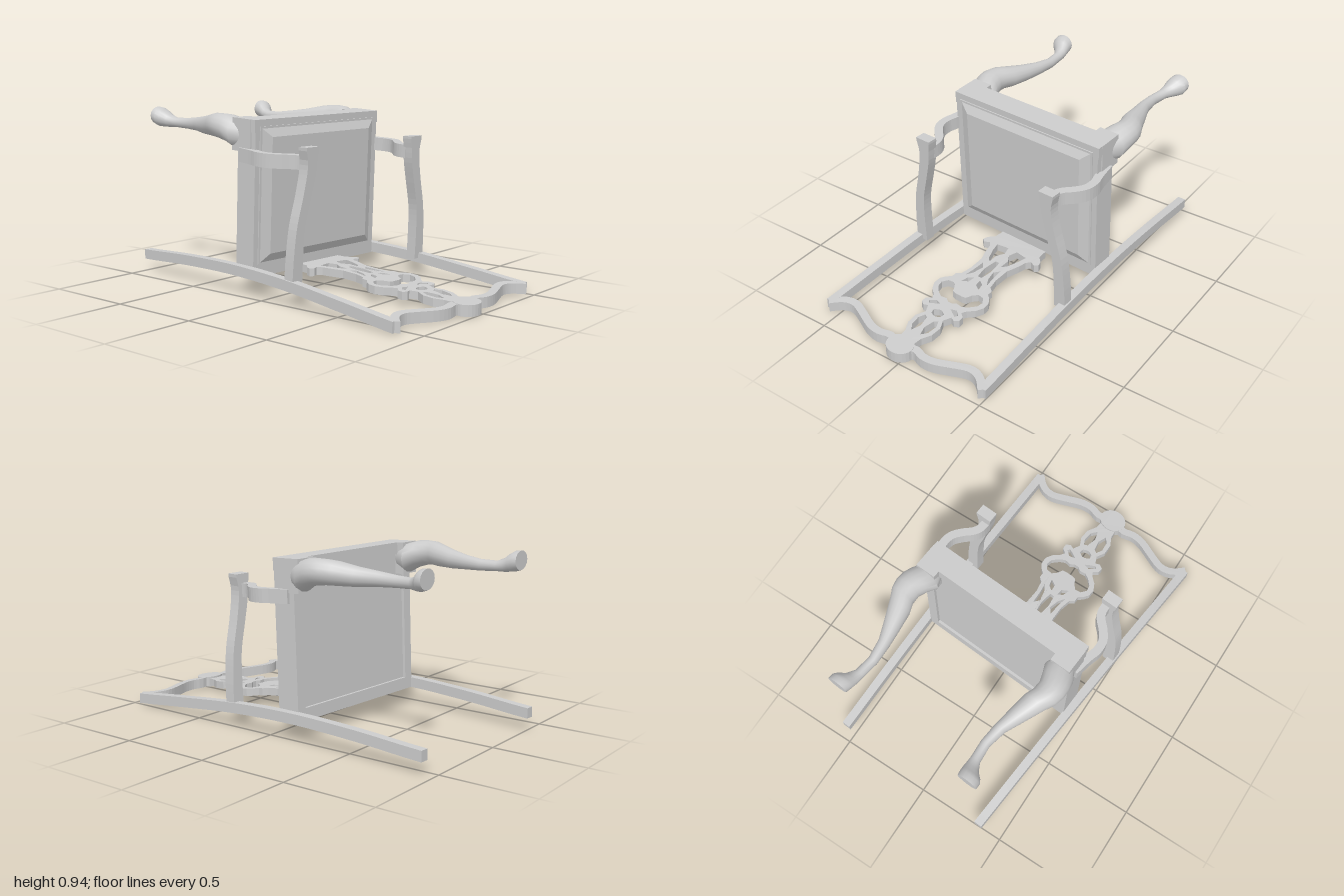
import * as THREE from 'three';
import { toCreasedNormals } from 'three/addons/utils/BufferGeometryUtils.js';

const material = new THREE.MeshStandardMaterial({ color: 0xcccccc, flatShading: false, side: THREE.DoubleSide });
const V2 = (p) => new THREE.Vector2(p[0], p[1]);

function addMesh(parent, name, geometry) {
  const mesh = new THREE.Mesh(geometry, material);
  mesh.name = name;
  parent.add(mesh);
  return mesh;
}

function addBox(parent, name, x0, x1, y0, y1, z0, z1) {
  const geo = new THREE.BoxGeometry(Math.abs(x1 - x0), Math.abs(y1 - y0), Math.abs(z1 - z0));
  geo.translate((x0 + x1) / 2, (y0 + y1) / 2, (z0 + z1) / 2);
  return addMesh(parent, name, geo);
}

// Height of the middle of the chair back, which is gently bowed along x
const bow = new THREE.SplineCurve([[-1, 0.09], [-0.6, 0.112], [-0.2, 0.121], [0.2, 0.105],
  [0.6, 0.066], [1, 0.026]].map(V2));
const bowAt = (x) => bow.getPoint((THREE.MathUtils.clamp(x, -1, 1) + 1) / 2).y;

function bend(geo, drop = () => 0) {
  const p = geo.attributes.position;
  for (let i = 0; i < p.count; i++) p.setY(i, p.getY(i) + bowAt(p.getX(i)) - drop(p.getX(i)));
  geo.computeVertexNormals();
  return geo;
}

// Band of given width along a smooth path
function ribbon(points, width, steps = 24) {
  const curve = new THREE.SplineCurve(points.map(V2));
  const a = [], b = [];
  for (let i = 0; i <= steps; i++) {
    const t = i / steps, p = curve.getPoint(t), d = curve.getTangent(t);
    const h = (typeof width === 'function' ? width(t) : width) / 2;
    a.push(new THREE.Vector2(p.x - d.y * h, p.y + d.x * h));
    b.unshift(new THREE.Vector2(p.x + d.y * h, p.y - d.x * h));
  }
  return new THREE.Shape([...a, ...b]);
}

// Shape drawn in (x, z), centred on y = 0
function flatPlate(shape, thickness) {
  const geo = new THREE.ExtrudeGeometry(shape, { depth: thickness, bevelEnabled: false, curveSegments: 12 });
  return geo.translate(0, 0, -thickness / 2).rotateX(Math.PI / 2);
}

// Smooth tube of elliptical sections [x, y, z, half height, half width]
function loft(sections, side, n = 16) {
  const rows = [sections[0], ...sections, sections[sections.length - 1]];
  const pos = [], index = [];
  rows.forEach(([x, y, z, hy, hz], i) => {
    const k = i === 0 || i === rows.length - 1 ? 0 : 1;
    for (let j = 0; j < n; j++) {
      const a = (j / n) * Math.PI * 2;
      pos.push(x, y + k * hy * Math.cos(a), side * z + k * hz * Math.sin(a));
      if (i === rows.length - 1) continue;
      const p = i * n + j, q = i * n + (j + 1) % n;
      index.push(p, p + n, q, q, p + n, q + n);
    }
  });
  const geo = new THREE.BufferGeometry();
  geo.setAttribute('position', new THREE.Float32BufferAttribute(pos, 3));
  geo.setIndex(index);
  return toCreasedNormals(geo, 0.7);
}

function splatShape() {
  // Half outline, mirrored over the centre line
  const half = [[-0.06, 0.15], [0, 0.155], [0.03, 0.185], [0.06, 0.195], [0.075, 0.175], [0.06, 0.145],
    [0.085, 0.125], [0.13, 0.115], [0.2, 0.09], [0.29, 0.088], [0.35, 0.1], [0.37, 0.125], [0.4, 0.125],
    [0.42, 0.15], [0.45, 0.17], [0.49, 0.172], [0.53, 0.15], [0.56, 0.115], [0.585, 0.1], [0.605, 0.128],
    [0.635, 0.13], [0.65, 0.105], [0.64, 0.08], [0.68, 0.06], [0.73, 0.085], [0.79, 0.082],
    [0.84, 0.055], [0.88, 0.05], [0.92, 0.05]];
  const mirror = (pts) => pts.map(([x, z]) => [x, -z]).reverse();
  const shape = new THREE.Shape([...half, ...mirror(half)].map(V2));
  const addHole = (pts) => shape.holes.push(new THREE.Path(pts.map(V2)));

  // Pairs of pierced openings
  const pairs = [
    [[0.04, 0.03], [0.05, 0.1], [0.1, 0.088], [0.17, 0.062], [0.19, 0.04], [0.13, 0.04], [0.09, 0.015]],
    [[0.22, 0.062], [0.25, 0.036], [0.31, 0.05], [0.35, 0.075], [0.29, 0.066]],
    [[0.34, 0.02], [0.36, 0.05], [0.4, 0.06], [0.38, 0.025]],
    [[0.595, 0.035], [0.585, 0.07], [0.61, 0.1], [0.625, 0.09], [0.61, 0.06]],
    [[0.71, 0.025], [0.7, 0.045], [0.735, 0.062], [0.79, 0.055], [0.82, 0.03], [0.77, 0.012]],
  ];
  for (const pts of pairs) { addHole(pts); addHole(mirror(pts)); }

  // Star, heart-shaped ring opening and small eye on the centre line
  const centred = [
    [[0.17, 0.012], [0.225, 0.02], [0.25, 0.022], [0.275, 0.02], [0.32, 0.012]],
    [[0.49, 0.02], [0.485, 0.045], [0.455, 0.06], [0.43, 0.085], [0.435, 0.12], [0.465, 0.142],
      [0.5, 0.135], [0.535, 0.1], [0.55, 0.07], [0.545, 0.035], [0.56, 0.012]],
    [[0.63, 0.01], [0.645, 0.035], [0.67, 0.03], [0.68, 0.01]],
  ];
  for (const pts of centred) addHole([...pts, ...mirror(pts)]);
  return shape;
}

function buildBack(chair) {
  const back = new THREE.Group();
  back.name = 'chairBack';
  chair.add(back);

  // Stiles continuing into the rear legs, spreading towards the crest
  for (const s of [-1, 1]) {
    const geo = new THREE.BoxGeometry(1.9, 0.055, 0.046, 20, 1, 1).translate(-0.03, 0, 0);
    const p = geo.attributes.position;
    for (let i = 0; i < p.count; i++) p.setZ(i, p.getZ(i) + s * (0.49 + 0.034 * p.getX(i)));
    addMesh(back, 'rearLegAndStile', bend(geo));

    // Wavy half of the crest rail
    const wave = [[0.925, 0.525], [0.885, 0.485], [0.86, 0.44], [0.857, 0.385], [0.885, 0.31],
      [0.922, 0.22], [0.93, 0.15], [0.915, 0.09], [0.93, 0.03]].map(([x, z]) => [x, s * z]);
    addMesh(back, 'crestRail', bend(flatPlate(ribbon(wave, 0.042), 0.055)));
  }

  const lobe = new THREE.Shape();
  lobe.absellipse(0.935, 0, 0.066, 0.078, 0, Math.PI * 2);
  addMesh(back, 'crestLobe', bend(flatPlate(lobe, 0.058)));
  addMesh(back, 'piercedSplat', bend(flatPlate(splatShape(), 0.042), (x) => 0.018 * (1 - x)));
}

function buildSeat(chair) {
  // The seat leans slightly; its y is measured from the pivot
  const seat = new THREE.Group();
  seat.name = 'seat';
  seat.position.y = 0.5;
  seat.rotation.z = -0.04;
  chair.add(seat);

  addBox(seat, 'frontRail', -0.2, -0.07, 0.34, 0.405, -0.47, 0.47);
  addBox(seat, 'backRail', -0.2, -0.07, -0.415, -0.35, -0.455, 0.455);
  addBox(seat, 'bottomPanel', -0.185, -0.1, -0.36, 0.36, -0.43, 0.43);
  for (const s of [-1, 1]) {
    addBox(seat, 'sideRail', -0.2, -0.07, -0.415, 0.4, s * 0.41, s * 0.465);
    addBox(seat, 'legBlock', -0.238, -0.1, 0.235, 0.405, s * 0.36, s * 0.472);
  }

  // Cushion with sloping edges
  addBox(seat, 'cushionBase', -0.12, -0.064, -0.35, 0.37, -0.435, 0.435);
  const cushion = new THREE.BoxGeometry(0.025, 0.71, 0.86).translate(-0.0545, 0.01, 0);
  const p = cushion.attributes.position;
  for (let i = 0; i < p.count; i++) {
    if (p.getX(i) > -0.05) {
      p.setY(i, p.getY(i) - Math.sign(p.getY(i)) * 0.05);
      p.setZ(i, p.getZ(i) - Math.sign(p.getZ(i)) * 0.06);
    }
  }
  cushion.computeVertexNormals();
  addMesh(seat, 'cushion', cushion);
}

function buildFrontLegs(chair) {
  const sections = [[-0.17, 0.825, 0.415, 0.07, 0.055], [-0.23, 0.83, 0.42, 0.08, 0.085],
    [-0.28, 0.853, 0.437, 0.072, 0.08], [-0.33, 0.862, 0.447, 0.066, 0.072], [-0.38, 0.864, 0.44, 0.063, 0.068],
    [-0.43, 0.86, 0.417, 0.06, 0.064], [-0.53, 0.851, 0.388, 0.049, 0.048], [-0.63, 0.848, 0.36, 0.038, 0.032],
    [-0.73, 0.845, 0.348, 0.03, 0.026], [-0.82, 0.847, 0.358, 0.027, 0.027], [-0.86, 0.855, 0.37, 0.036, 0.038],
    [-0.885, 0.868, 0.385, 0.047, 0.052], [-0.905, 0.875, 0.393, 0.053, 0.058], [-0.935, 0.882, 0.396, 0.05, 0.056]];
  for (const s of [-1, 1]) addMesh(chair, 'frontLeg', loft(sections, s));
}

function buildArms(chair) {
  // Turns a shape drawn in (y, z) so its depth runs along x
  const upright = new THREE.Matrix4().makeBasis(new THREE.Vector3(0, 1, 0),
    new THREE.Vector3(0, 0, 1), new THREE.Vector3(1, 0, 0));
  for (const s of [-1, 1]) {
    const flip = (pts) => pts.map(([a, z]) => [a, s * z]);

    // Armrest, flaring into a blunt scroll at its front end
    const path = flip([[0.1, 0.478], [0.25, 0.476], [0.4, 0.464], [0.55, 0.428], [0.68, 0.402], [0.79, 0.402]]);
    const width = (t) => 0.068 + 0.02 * THREE.MathUtils.smoothstep(t, 0.85, 0.97) - 0.012 * Math.sin(Math.PI * t) ** 2;
    const arm = new THREE.ExtrudeGeometry(ribbon(path, width), { depth: 0.058, bevelEnabled: false });
    arm.applyMatrix4(upright);
    const p = arm.attributes.position;
    for (let i = 0; i < p.count; i++) p.setX(i, p.getX(i) + 0.187 + 0.055 * p.getY(i));
    arm.computeVertexNormals();
    addMesh(chair, 'armrest', arm);

    // Curved support between seat rail and armrest
    const bendPath = flip([[-0.16, 0.462], [-0.06, 0.478], [0, 0.492], [0.06, 0.485], [0.11, 0.45],
      [0.15, 0.41], [0.19, 0.39], [0.24, 0.388]]);
    const support = flatPlate(ribbon(bendPath, 0.045), 0.072);
    support.rotateZ(-0.05).translate(0, 0.717, 0);
    addMesh(chair, 'armSupport', support);
  }
}

export function createModel() {
  const model = new THREE.Group();
  model.name = 'armchair';
  // The chair lies on its back, turned slightly
  const chair = new THREE.Group();
  chair.name = 'recliningChair';
  chair.rotation.y = -0.066;
  chair.position.z = -0.022;
  model.add(chair);
  buildBack(chair);
  buildSeat(chair);
  buildFrontLegs(chair);
  buildArms(chair);
  return model;
}
